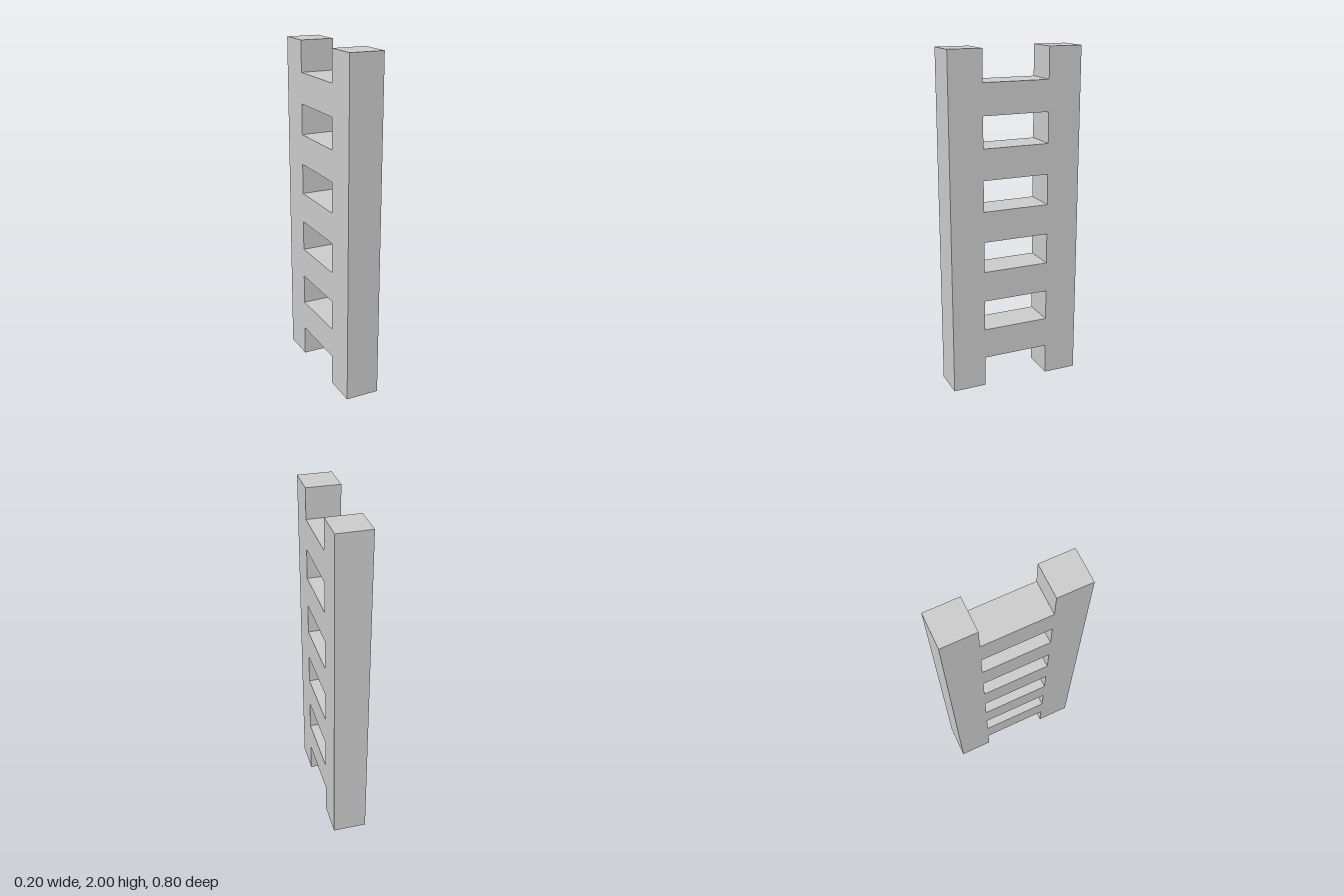
import * as THREE from 'three';

const HEIGHT = 2;
const THICK = 0.2; // rail section and ladder depth along x
const RAIL_Z = 0.3;
const RUNGS = 5;
const STEP = HEIGHT / (2 * RUNGS + 1); // rungs and gaps share one height

export function createModel() {
  const ladder = new THREE.Group();
  ladder.name = 'ladder';
  const material = new THREE.MeshStandardMaterial({ color: 0xcccccc, flatShading: true });

  const addBox = (name, height, depth, y, z) => {
    const mesh = new THREE.Mesh(new THREE.BoxGeometry(THICK, height, depth), material);
    mesh.name = name;
    mesh.position.set(0, y, z);
    ladder.add(mesh);
  };

  // Upright rails
  addBox('frontRail', HEIGHT, THICK, HEIGHT / 2, RAIL_Z);
  addBox('backRail', HEIGHT, THICK, HEIGHT / 2, -RAIL_Z);

  // Rungs, flush with the rails and evenly spaced
  for (let i = 0; i < RUNGS; i++) {
    addBox(`rung${i + 1}`, STEP, 2 * RAIL_Z - THICK, STEP * (2 * i + 1.5), 0);
  }
  return ladder;
}
